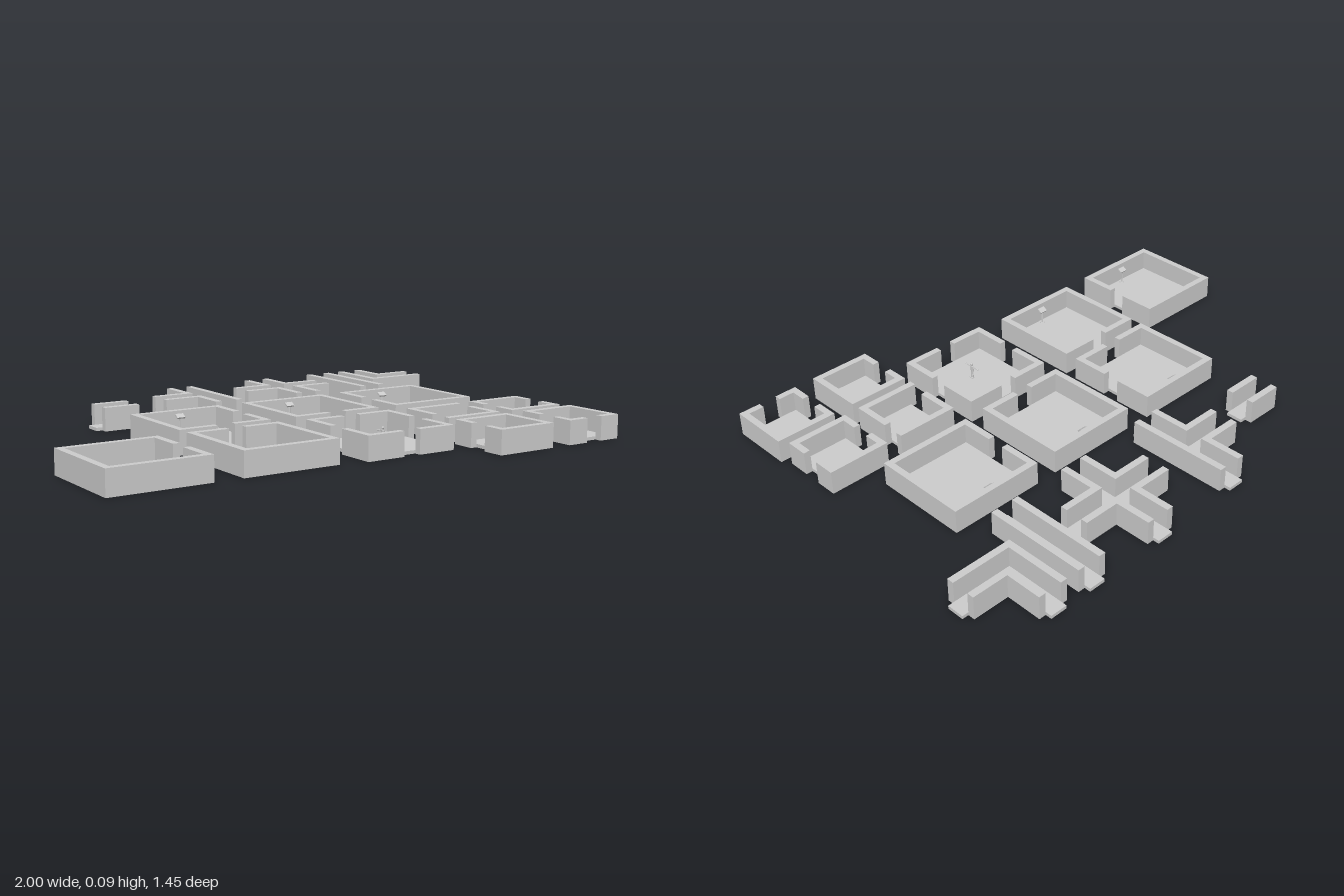
import * as THREE from 'three';

const H = 0.088;      // wall height
const FLOOR = 0.012;  // floor thickness
const T = 0.025;      // wall thickness
const mat = new THREE.MeshStandardMaterial({ color: 0xcccccc, flatShading: true });

function mesh(parent, name, geometry, x = 0, y = 0, z = 0) {
  const m = new THREE.Mesh(geometry, mat);
  m.name = name;
  m.position.set(x, y, z);
  parent.add(m);
  return m;
}

// Box standing on the ground, given by its plan rectangle
function slab(parent, name, x0, x1, z0, z1, h) {
  return mesh(parent, name, new THREE.BoxGeometry(x1 - x0, h, z1 - z0),
    (x0 + x1) / 2, h / 2, (z0 + z1) / 2);
}

// Wall runs from a to b, left open at the door interval
function runs(a, b, door) {
  return door ? [[a, door[0]], [door[1], b]] : [[a, b]];
}

// Square room; doors maps a side (left, right, front, back) to its opening
function room(parent, name, x0, x1, z0, z1, doors) {
  const g = new THREE.Group();
  g.name = name;
  parent.add(g);
  slab(g, 'floor', x0 + T, x1 - T, z0 + T, z1 - T, FLOOR);
  for (const [a, b] of runs(x0, x1, doors.back)) slab(g, 'backWall', a, b, z0, z0 + T, H);
  for (const [a, b] of runs(x0, x1, doors.front)) slab(g, 'frontWall', a, b, z1 - T, z1, H);
  for (const [a, b] of runs(z0 + T, z1 - T, doors.right)) slab(g, 'rightWall', x0, x0 + T, a, b, H);
  for (const [a, b] of runs(z0 + T, z1 - T, doors.left)) slab(g, 'leftWall', x1 - T, x1, a, b, H);
  return g;
}

// Corridor piece; arms is a string of open directions: e/w along x, s/n along z
function corridor(parent, name, cx, cz, arms, rFloor = 0.219, rWall = 0.195) {
  const g = new THREE.Group();
  g.name = name;
  g.position.set(cx, 0, cz);
  parent.add(g);
  const i = 0.032, o = 0.058;
  const open = d => arms.includes(d);
  // Floor: one strip along z, filled out by side strips along x
  const alongZ = open('n') || open('s');
  if (alongZ) {
    slab(g, 'floor', -i, i, open('n') ? -rFloor : -i, open('s') ? rFloor : i, FLOOR);
    if (open('e')) slab(g, 'floor', i, rFloor, -i, i, FLOOR);
    if (open('w')) slab(g, 'floor', -rFloor, -i, -i, i, FLOOR);
  } else slab(g, 'floor', -rFloor, rFloor, -i, i, FLOOR);
  // Closed sides get one continuous wall
  const reach = (d, closed) => (open(d) ? rWall : closed);
  for (const [d, s] of [['e', 1], ['w', -1]]) {
    if (!open(d)) slab(g, 'wall', s > 0 ? i : -o, s > 0 ? o : -i, -reach('n', o), reach('s', o), H);
  }
  for (const [d, s] of [['s', 1], ['n', -1]]) {
    if (!open(d)) slab(g, 'wall', -reach('w', i), reach('e', i), s > 0 ? i : -o, s > 0 ? o : -i, H);
  }
  // Corners between two open arms get an L-shaped wall
  for (const [dx, sx] of [['e', 1], ['w', -1]]) for (const [dz, sz] of [['s', 1], ['n', -1]]) {
    if (!open(dx) || !open(dz)) continue;
    const pts = [[i, i], [rWall, i], [rWall, o], [o, o], [o, rWall], [i, rWall]]
      .map(([x, z]) => new THREE.Vector2(sx * x, -sz * z));
    const geo = new THREE.ExtrudeGeometry(new THREE.Shape(pts), { depth: H, bevelEnabled: false });
    mesh(g, 'cornerWall', geo.rotateX(-Math.PI / 2));
  }
}

// Small stand with a tilted panel, facing +z when dir is 1 and -z when -1
function stand(parent, x, z, dir) {
  const g = new THREE.Group();
  g.name = 'stand';
  g.position.set(x, FLOOR, z);
  parent.add(g);
  mesh(g, 'standFoot', new THREE.CylinderGeometry(0.008, 0.01, 0.004, 8), 0, 0.002, 0);
  mesh(g, 'standPole', new THREE.CylinderGeometry(0.0035, 0.0035, 0.052, 8), 0, 0.028, 0);
  mesh(g, 'standPanel', new THREE.BoxGeometry(0.032, 0.006, 0.021), 0, 0.058, 0)
    .rotation.x = dir * 0.6;
}

// Standing figure, arms spread along z
function figure(parent, x, z) {
  const g = new THREE.Group();
  g.name = 'figure';
  g.position.set(x, 0, z);
  parent.add(g);
  mesh(g, 'head', new THREE.SphereGeometry(0.0052, 8, 6), 0, 0.071, 0);
  mesh(g, 'neck', new THREE.CylinderGeometry(0.002, 0.002, 0.006, 6), 0, 0.065, 0);
  const torso = mesh(g, 'torso', new THREE.CylinderGeometry(0.008, 0.006, 0.024, 8), 0, 0.051, 0);
  torso.scale.x = 0.6;
  for (const s of [-1, 1]) {
    mesh(g, 'arm', new THREE.CylinderGeometry(0.0022, 0.0016, 0.029, 6), 0, 0.06, s * 0.02)
      .rotation.x = s * Math.PI / 2;
    mesh(g, 'leg', new THREE.CylinderGeometry(0.003, 0.002, 0.04, 6), 0, 0.021, s * 0.0045)
      .rotation.x = -s * 0.06;
    mesh(g, 'foot', new THREE.BoxGeometry(0.01, 0.003, 0.004), 0.002, FLOOR + 0.0015, s * 0.0055);
  }
}

export function createModel() {
  const model = new THREE.Group();
  model.name = 'dungeonTiles';

  // Large rooms
  const large = new THREE.Group();
  large.name = 'largeRooms';
  model.add(large);
  room(large, 'twoDoorRoom', -0.53, -0.167, -0.232, 0.131, { left: [-0.083, -0.017], front: [-0.381, -0.314] });
  room(large, 'frontDoorRoom', -0.065, 0.299, -0.23, 0.135, { front: [0.084, 0.151] });
  room(large, 'rightDoorRoom', 0.383, 0.747, -0.232, 0.131, { right: [-0.083, -0.017] });
  room(large, 'leftDoorRoom', -1, -0.636, 0.179, 0.542, { left: [0.327, 0.393] });
  room(large, 'backDoorRoom', -0.53, -0.167, 0.179, 0.542, { back: [-0.381, -0.314] });
  const x = [0.084, 0.151], z = [0.345, 0.411];
  room(large, 'fourDoorRoom', -0.065, 0.299, 0.196, 0.56, { back: x, front: x, left: z, right: z });

  // Small rooms
  const small = new THREE.Group();
  small.name = 'smallRooms';
  model.add(small);
  room(small, 'offsetDoorRoom', 0.369, 0.608, 0.212, 0.451, { left: [0.237, 0.302], right: [0.36, 0.426] });
  room(small, 'throughRoom', 0.667, 0.904, 0.214, 0.451, { left: [0.298, 0.366], right: [0.298, 0.366] });
  room(small, 'endRoom', 0.369, 0.608, 0.484, 0.721, { right: [0.569, 0.638] });
  room(small, 'cornerRoom', 0.688, 0.925, 0.484, 0.721, { right: [0.569, 0.638], front: [0.772, 0.841] });

  // Corridor pieces
  const halls = new THREE.Group();
  halls.name = 'corridors';
  model.add(halls);
  corridor(halls, 'shortCorridor', -0.475, -0.464, 'ew', 0.094, 0.07);
  corridor(halls, 'teeCorridor', -0.076, -0.499, 'nsw');
  corridor(halls, 'crossCorridor', 0.296, -0.51, 'nsew');
  corridor(halls, 'straightCorridor', 0.61, -0.51, 'ns');
  corridor(halls, 'cornerCorridor', 0.776, -0.51, 'ne');

  // Stands by the room walls, and the figure in the central room
  stand(model, -0.35, -0.192, 1);
  stand(model, 0.12, -0.187, 1);
  stand(model, 0.566, -0.192, 1);
  stand(model, -0.82, 0.5, -1);
  stand(model, -0.35, 0.5, -1);
  figure(model, 0.116, 0.4);
  return model;
}
